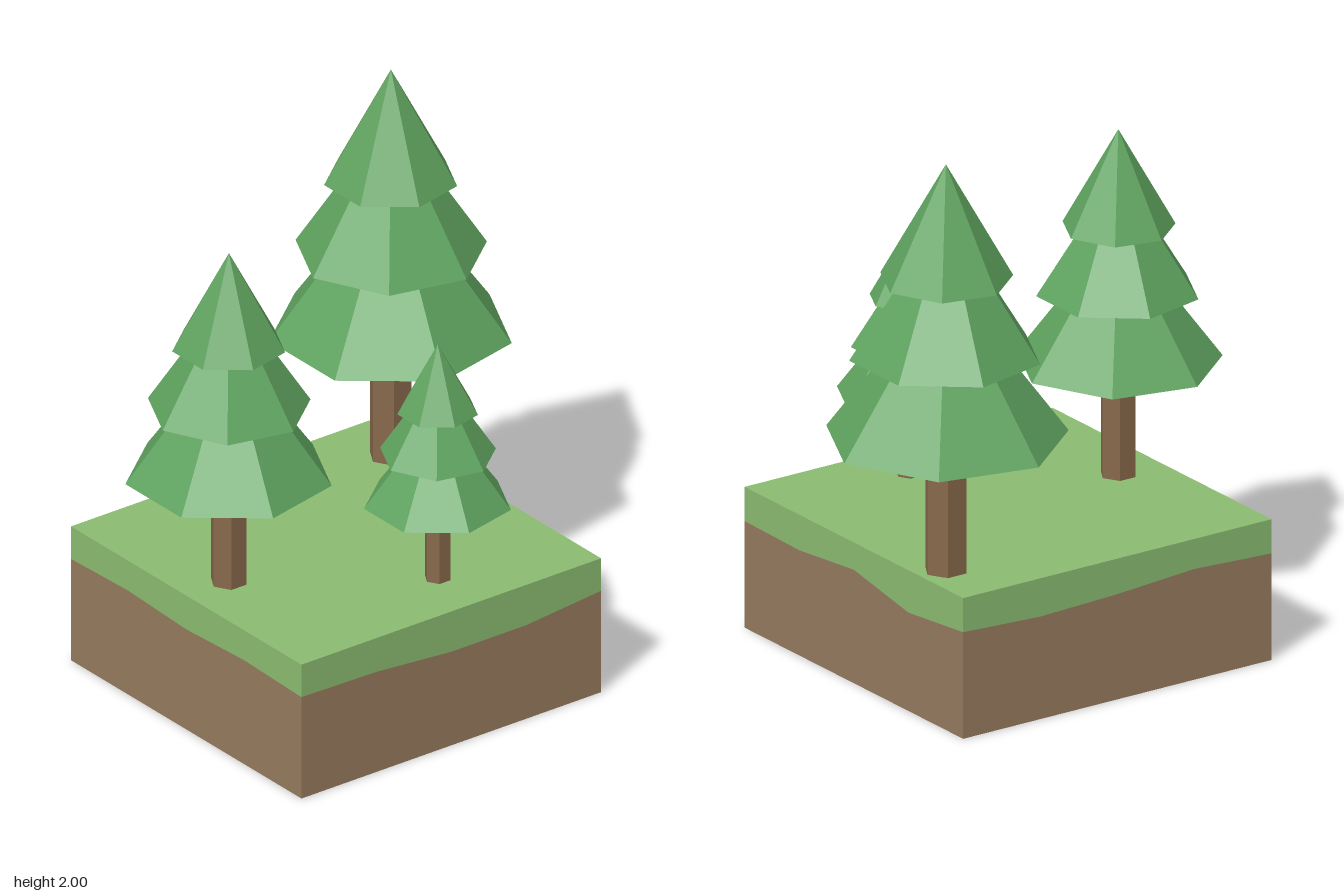
import * as THREE from 'three';

const GROUND = 0.515;
const X0 = -0.735, X1 = 0.555, Z0 = -0.58, Z1 = 0.71;

const paint = (color) => new THREE.MeshStandardMaterial({ color, flatShading: true });

function addMesh(parent, name, geometry, material) {
  const mesh = new THREE.Mesh(geometry, material);
  mesh.name = name;
  parent.add(mesh);
  return mesh;
}

// Heights of the wavy grass/soil border, anticlockwise from the front -x corner
const BORDER = [
  0.39, 0.385, 0.36, 0.36, // front
  0.39, 0.385, 0.415, 0.36, // +x side
  0.39, 0.375, 0.385, 0.405, // back
  0.39, 0.40, 0.385, 0.40, // -x side
];

function borderRing() {
  const corners = [[X0, Z1], [X1, Z1], [X1, Z0], [X0, Z0]];
  return BORDER.map((y, i) => {
    const side = Math.floor(i / 4), t = (i % 4) / 4;
    const a = corners[side], b = corners[(side + 1) % 4];
    return [a[0] + (b[0] - a[0]) * t, y, a[1] + (b[1] - a[1]) * t];
  });
}

// Walls between the border and a flat level, closed by a cap at that level
function layer(flatY, isTop) {
  const ring = borderRing(), pos = [];
  const centre = [(X0 + X1) / 2, flatY, (Z0 + Z1) / 2];
  ring.forEach((a, i) => {
    const b = ring[(i + 1) % ring.length];
    const fa = [a[0], flatY, a[2]], fb = [b[0], flatY, b[2]];
    const [la, lb, ua, ub] = isTop ? [a, b, fa, fb] : [fa, fb, a, b];
    pos.push(...la, ...lb, ...ub, ...la, ...ub, ...ua);
    pos.push(...centre, ...(isTop ? fa : fb), ...(isTop ? fb : fa));
  });
  const g = new THREE.BufferGeometry();
  g.setAttribute('position', new THREE.Float32BufferAttribute(pos, 3));
  g.computeVertexNormals();
  return g;
}

// Foliage tiers of the full-size tree: base height, radius, cone height
const TIERS = [
  [0.485, 0.425, 0.58],
  [0.788, 0.335, 0.52],
  [1.065, 0.233, 0.42],
];

function makeTree(name, x, z, scale, bark, leaf) {
  const tree = new THREE.Group();
  tree.name = name;
  const trunkHeight = 0.52;
  const trunk = new THREE.CylinderGeometry(0.077, 0.077, trunkHeight, 6, 1, false, Math.PI / 2);
  addMesh(tree, 'trunk', trunk, bark).position.y = trunkHeight / 2;
  // every second tier is turned by half a facet
  TIERS.forEach(([y, r, h], i) => {
    const turn = Math.PI / 2 + (i % 2) * Math.PI / 7;
    const cone = new THREE.ConeGeometry(r, h, 7, 1, false, turn);
    addMesh(tree, 'foliageTier' + (i + 1), cone, leaf).position.y = y + h / 2;
  });
  tree.position.set(x, GROUND, z);
  tree.scale.setScalar(scale);
  return tree;
}

export function createModel() {
  const model = new THREE.Group();
  model.name = 'forestBlock';

  // Ground block
  addMesh(model, 'soil', layer(0, false), paint(0x967a5e));
  addMesh(model, 'grass', layer(GROUND, true), paint(0x8abb70));

  // Pine trees
  const bark = paint(0x86684a), leaf = paint(0x5fa35f);
  model.add(
    makeTree('largeTree', 0.45, -0.33, 1, bark, leaf),
    makeTree('mediumTree', -0.555, 0.07, 0.85, bark, leaf),
    makeTree('smallTree', 0.025, 0.485, 0.605, bark, leaf),
  );
  return model;
}
